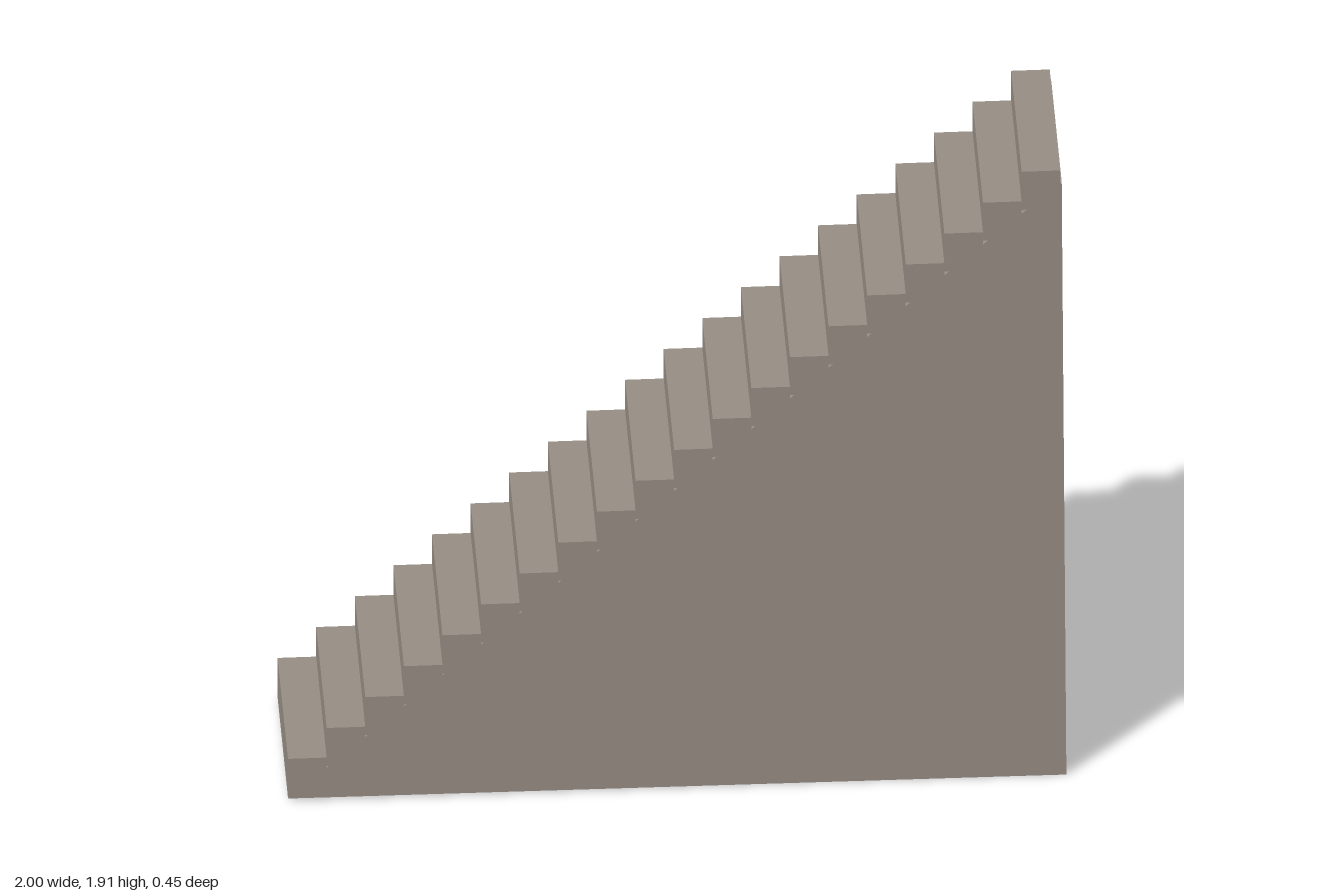
import * as THREE from 'three';

export function createModel() {
  const model = new THREE.Group();
  model.name = 'staircase';
  const stone = new THREE.MeshStandardMaterial({ color: 0x968d84 });
  stone.name = 'stone';

  const depth = 0.446;
  const count = 20;
  const run = 0.0992;
  const rise = 0.0932;
  const stepHeight = 0.12;

  // Triangular base, very slightly tilted, supporting the flight
  const side = new THREE.Shape([
    new THREE.Vector2(-1, 0.01),
    new THREE.Vector2(1, 0),
    new THREE.Vector2(0.988, 1.87),
  ]);
  const baseGeometry = new THREE.ExtrudeGeometry(side, { depth, bevelEnabled: false });
  baseGeometry.translate(0, 0, -depth / 2);
  const base = new THREE.Mesh(baseGeometry, stone);
  base.name = 'base';
  model.add(base);

  // Overlapping step blocks climbing towards +x
  const steps = new THREE.Group();
  steps.name = 'steps';
  const stepGeometry = new THREE.BoxGeometry(run, stepHeight, depth);
  for (let i = 0; i < count; i++) {
    const step = new THREE.Mesh(stepGeometry, stone);
    step.name = `step${i + 1}`;
    step.position.set(-1 + run * (i + 0.5), 0.135 + rise * i - stepHeight / 2, 0);
    steps.add(step);
  }
  model.add(steps);

  return model;
}
